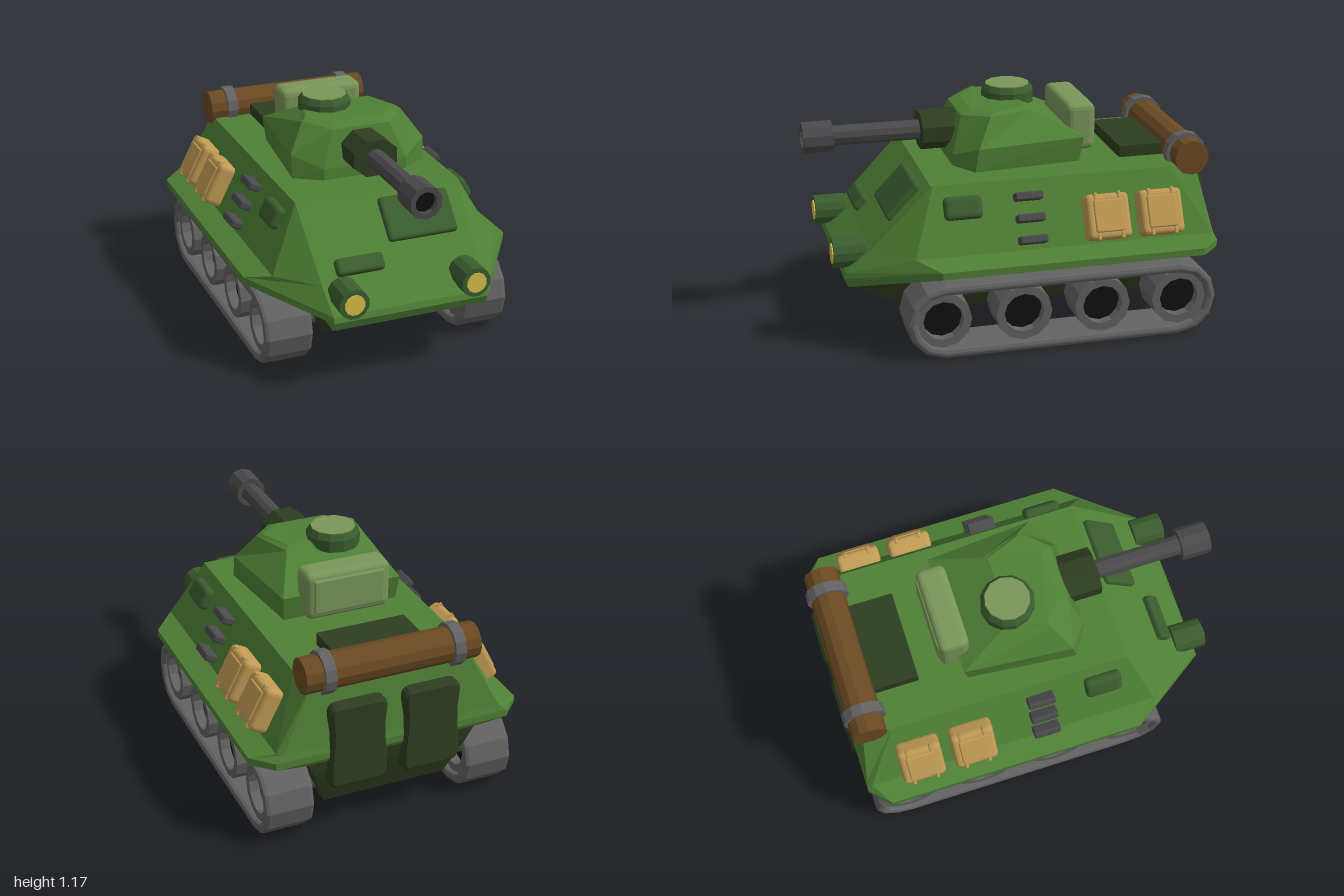
import * as THREE from 'three';
import { RoundedBoxGeometry } from 'three/addons/geometries/RoundedBoxGeometry.js';

const mat = (color, side = THREE.FrontSide) => new THREE.MeshStandardMaterial({ color, side, flatShading: true });
const GREEN = mat(0x4f8035), DARK = mat(0x2e3d20), MID = mat(0x3a5c2e), LIGHT = mat(0x7a965a);
const TAN = mat(0xc09a54), BROWN = mat(0x6b4a22), YELLOW = mat(0xd8c04a);
const TRACK = mat(0x626262), METAL = mat(0x4a4a4c), BLACK = mat(0x101010);

// Solid from stacked rings (bottom to top); each ring lists its +x half, front to back
function loft(halves) {
  const rings = halves.map(h => [...h, ...h.map(([x, y, z]) => [-x, y, z]).reverse()]);
  const n = rings[0].length, pos = [];
  const tri = (...p) => p.forEach(v => pos.push(...v));
  for (let r = 0; r + 1 < rings.length; r++) {
    const a = rings[r], b = rings[r + 1];
    for (let i = 0; i < n; i++) {
      const j = (i + 1) % n;
      tri(a[i], a[j], b[j]);
      tri(a[i], b[j], b[i]);
    }
  }
  const bot = rings[0], top = rings[rings.length - 1];
  for (let i = 1; i + 1 < n; i++) {
    tri(top[0], top[i], top[i + 1]);
    tri(bot[0], bot[i + 1], bot[i]);
  }
  const g = new THREE.BufferGeometry();
  g.setAttribute('position', new THREE.Float32BufferAttribute(pos, 3));
  g.computeVertexNormals();
  return g;
}

export function createModel() {
  const root = new THREE.Group();
  const add = (name, geo, material, x = 0, y = 0, z = 0, parent = root) => {
    const m = new THREE.Mesh(geo, material);
    m.name = name;
    m.position.set(x, y, z);
    parent.add(m);
    return m;
  };
  const rbox = (w, h, d, r = 0.02) => new RoundedBoxGeometry(w, h, d, 2, r);
  const cylX = (r, len, seg = 12) => new THREE.CylinderGeometry(r, r, len, seg).rotateZ(Math.PI / 2);
  const cylZ = (r, len, seg = 10) =>
    new THREE.CylinderGeometry(r, r, len, seg, 1, false, Math.PI / seg).rotateX(Math.PI / 2);
  const ring = (ro, ri, w, seg = 12) => new THREE.LatheGeometry(
    [[ri, -w / 2], [ro, -w / 2], [ro, w / 2], [ri, w / 2], [ri, -w / 2]].map(p => new THREE.Vector2(...p)), seg);

  // Hull: lower tub, then skirt flange and sloped upper body
  add('lowerHull', loft([
    [[0.32, 0.135, 0.5], [0.32, 0.135, 0.3], [0.32, 0.135, -0.8], [0.32, 0.135, -0.88]],
    [[0.395, 0.335, 0.85], [0.4, 0.34, 0.45], [0.4, 0.34, -0.9], [0.4, 0.34, -0.95]],
    [[0.395, 0.36, 0.85], [0.46, 0.43, 0.45], [0.46, 0.43, -0.9], [0.44, 0.43, -0.965]],
  ]), DARK);
  add('upperHull', loft([
    [[0.4, 0.325, 0.85], [0.44, 0.42, 0.44], [0.44, 0.42, -0.88], [0.44, 0.42, -0.97]],
    [[0.4, 0.37, 0.87], [0.7, 0.44, 0.44], [0.7, 0.44, -0.88], [0.6, 0.44, -0.98]],
    [[0.4, 0.4, 0.86], [0.7, 0.475, 0.44], [0.7, 0.475, -0.88], [0.6, 0.475, -0.98]],
    [[0.41, 0.51, 0.74], [0.59, 0.51, 0.55], [0.59, 0.51, -0.95], [0.56, 0.51, -0.97]],
    [[0.43, 0.82, 0.44], [0.43, 0.82, 0.43], [0.43, 0.82, -0.78], [0.4, 0.82, -0.92]],
  ]), GREEN);

  // Turret
  add('turretRing', new THREE.CylinderGeometry(0.26, 0.26, 0.05, 16), DARK, 0, 0.835, -0.03);
  add('turret', loft([
    [[0.22, 0.845, 0.285], [0.355, 0.845, 0.2], [0.3, 0.845, -0.345]],
    [[0.22, 0.9, 0.28], [0.355, 0.96, 0.18], [0.31, 0.97, -0.365]],
    [[0.15, 1.08, 0.225], [0.265, 1.095, 0.1], [0.19, 1.095, -0.12]],
    [[0.13, 1.1, 0.17], [0.24, 1.11, 0.08], [0.17, 1.11, -0.09]],
  ]), GREEN);
  add('turretHatchBase', new THREE.CylinderGeometry(0.115, 0.135, 0.03, 12), MID, -0.08, 1.149, -0.07);
  add('turretHatchRim', new THREE.CylinderGeometry(0.135, 0.135, 0.06, 12), MID, -0.08, 1.105, -0.07);
  add('turretHatchLid', new THREE.CylinderGeometry(0.112, 0.112, 0.006, 12), LIGHT, -0.08, 1.164, -0.07);
  add('stowageBin', rbox(0.44, 0.245, 0.15, 0.035), LIGHT, 0, 0.992, -0.378);
  add('stowageBinPanel', rbox(0.37, 0.18, 0.02, 0.01), LIGHT, 0, 0.992, -0.451);

  // Gun
  add('mantlet', cylZ(0.12, 0.29, 8).scale(1.03, 0.82, 1), DARK, 0, 0.975, 0.265);
  add('barrel', cylZ(0.05, 0.5), METAL, 0, 0.975, 0.62);
  add('muzzle', ring(0.082, 0.055, 0.15, 10).rotateX(Math.PI / 2), METAL, 0, 0.975, 0.925);
  add('bore', cylZ(0.056, 0.1), BLACK, 0, 0.975, 0.92);

  // Glacis hatch and vision flap
  const glacis = (name, w, h, d, x, y) => {
    const z = 0.44 + (0.82 - y) * 0.956;
    add(name, rbox(w, h, d, 0.018), MID, x, y, z).rotation.x = -0.763;
  };
  glacis('driverHatch', 0.365, 0.23, 0.06, 0.162, 0.705);
  glacis('visionFlap', 0.245, 0.085, 0.08, -0.203, 0.56);

  // Engine deck and bedroll
  add('engineDeck', new THREE.BoxGeometry(0.46, 0.07, 0.23), DARK, 0, 0.845, -0.695);
  add('bedroll', cylX(0.088, 0.89), BROWN, 0, 0.86, -0.89);

  // Rear doors with a slight waist
  const door = new THREE.Shape();
  door.moveTo(-0.11, -0.222);
  door.lineTo(0.11, -0.222);
  door.quadraticCurveTo(0.15, -0.222, 0.15, -0.17);
  door.bezierCurveTo(0.15, -0.05, 0.125, 0.05, 0.145, 0.16);
  door.quadraticCurveTo(0.15, 0.222, 0.1, 0.222);
  door.lineTo(-0.1, 0.222);
  door.quadraticCurveTo(-0.15, 0.222, -0.145, 0.16);
  door.bezierCurveTo(-0.125, 0.05, -0.15, -0.05, -0.15, -0.17);
  door.quadraticCurveTo(-0.15, -0.222, -0.11, -0.222);
  const doorGeo = new THREE.ExtrudeGeometry(door, {
    depth: 0.075, bevelThickness: 0.015, bevelSize: 0.015, bevelOffset: -0.015, bevelSegments: 1, curveSegments: 4,
  });

  // Track band: a stadium with a stadium opening, laid out along -z
  const stadium = (path, r) => {
    const pts = [];
    for (let i = 0; i <= 6; i++) pts.push([0.78, -Math.PI / 2 + i * Math.PI / 6]);
    for (let i = 0; i <= 6; i++) pts.push([-0.415, Math.PI / 2 + i * Math.PI / 6]);
    path.setFromPoints(pts.map(([c, a]) => new THREE.Vector2(c + r * Math.cos(a), 0.19 + r * Math.sin(a))));
    return path;
  };
  const band = stadium(new THREE.Shape(), 0.19);
  band.holes.push(stadium(new THREE.Path(), 0.14));
  const bandGeo = new THREE.ExtrudeGeometry(band, {
    depth: 0.21, bevelThickness: 0.02, bevelSize: 0.02, bevelOffset: -0.02, bevelSegments: 2,
  }).translate(0, 0, -0.105).rotateY(Math.PI / 2);

  for (const s of [1, -1]) {
    const side = s > 0 ? 'left' : 'right';

    // Running gear
    add(side + 'Track', bandGeo, TRACK, s * 0.525, 0, 0);
    for (const z of [0.425, 0.02, -0.38, -0.78]) {
      add(side + 'Wheel', ring(0.142, 0.1, 0.2).rotateZ(Math.PI / 2), TRACK, s * 0.525, 0.195, z);
      add(side + 'WheelHub', cylX(0.101, 0.1), BLACK, s * 0.525, 0.195, z);
    }

    // Equipment on the sloped side: local x points out of the armour, y up along it
    const slope = (name, t, h, w, y, z, out, material, r) => {
      const x = 0.43 + (0.82 - y) * 0.516 + out * 0.888;
      const m = add(side + name, rbox(t, h, w, r), material, s * x, y + out * 0.458, z);
      m.rotation.z = s * 0.476;
    };
    for (const z of [-0.41, -0.683]) {
      slope('Pack', 0.1, 0.225, 0.22, 0.62, z, 0.035, TAN, 0.025);
      slope('PackPanel', 0.02, 0.16, 0.15, 0.62, z, 0.083, TAN, 0.008);
      for (const dz of [-0.06, 0.06]) slope('PackStrap', 0.03, 0.235, 0.018, 0.62, z + dz, 0.074, TAN, 0.006);
    }
    for (const y of [0.74, 0.645, 0.55]) slope('Vent', 0.07, 0.04, 0.14, y, -0.03, 0.025, METAL, 0.01);
    slope('SideHatch', 0.06, 0.115, 0.19, 0.715, 0.297, 0.015, MID, 0.025);

    // Lights, doors and bedroll straps
    add(side + 'HeadlightHousing', cylZ(0.076, 0.16, 12), MID, s * 0.315, 0.475, 0.832);
    add(side + 'HeadlightLens', cylZ(0.052, 0.01, 12), YELLOW, s * 0.315, 0.475, 0.913);
    add(side + 'RearDoor', doorGeo, DARK, s * 0.19, 0.493, -0.985);
    add(side + 'BedrollStrap', cylX(0.106, 0.055), TRACK, s * 0.33, 0.86, -0.89);
  }

  // Axles through the hull
  for (const z of [0.425, 0.02, -0.38, -0.78]) add('axle', cylX(0.04, 1.0, 10), METAL, 0, 0.195, z);
  return root;
}
